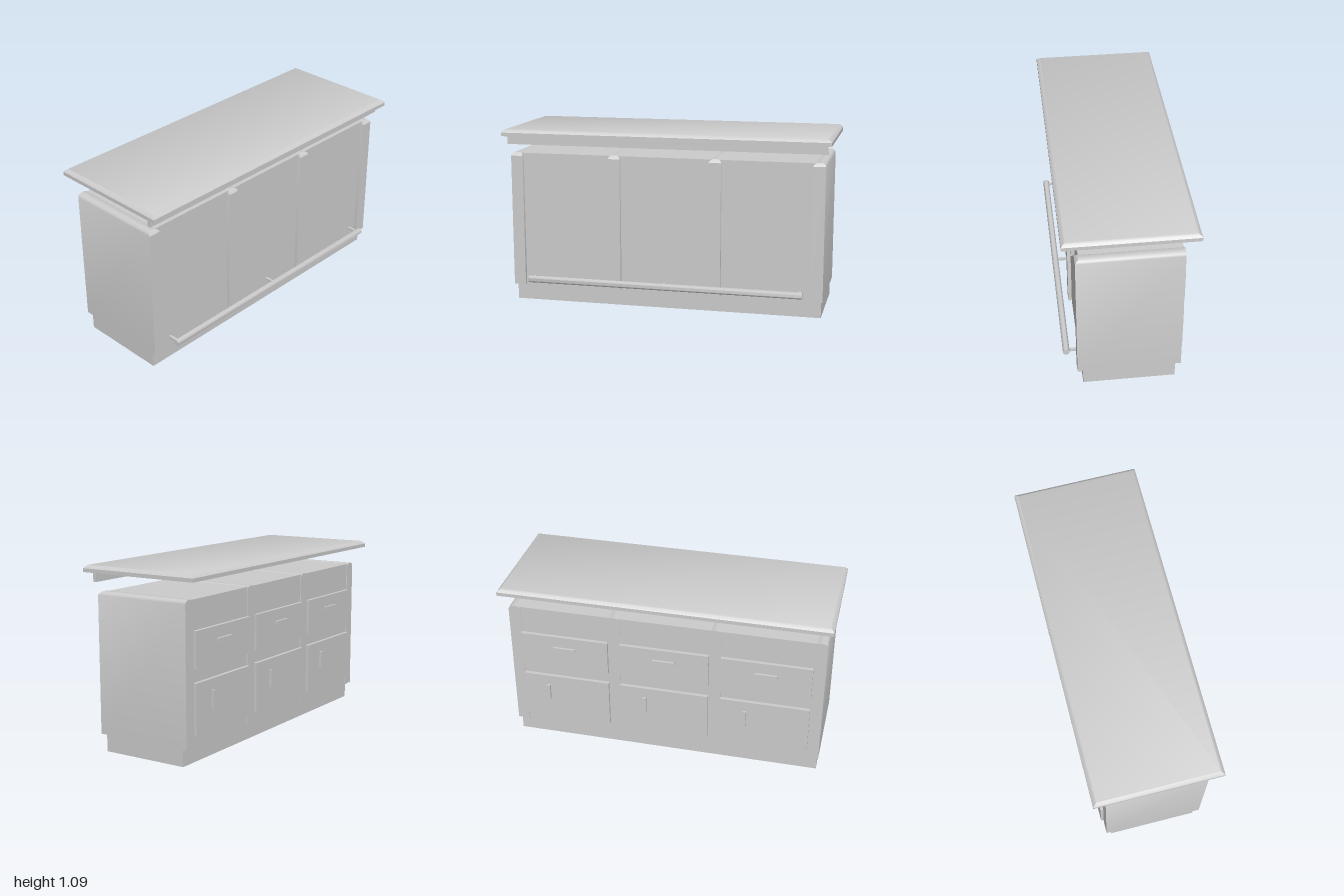
import * as THREE from 'three';
import { toCreasedNormals } from 'three/addons/utils/BufferGeometryUtils.js';

const grey = new THREE.MeshStandardMaterial({ color: 0xcccccc });
grey.name = 'light grey';

// Block from rectangular rings, each { y, side, front, back } with insets from the outline
function loft(x0, x1, z0, z1, rings) {
  const pos = [], idx = [];
  for (const { y, side = 0, front = 0, back = 0 } of rings) {
    pos.push(x0 + side, y, z1 - front, x1 - side, y, z1 - front,
      x1 - side, y, z0 + back, x0 + side, y, z0 + back);
  }
  for (let r = 0; r < rings.length - 1; r++) {
    for (let i = 0; i < 4; i++) {
      const a = r * 4 + i, b = r * 4 + (i + 1) % 4;
      idx.push(a, b, b + 4, a, b + 4, a + 4);
    }
  }
  const t = (rings.length - 1) * 4;
  idx.push(0, 2, 1, 0, 3, 2, t, t + 1, t + 2, t, t + 2, t + 3);
  const geo = new THREE.BufferGeometry();
  geo.setAttribute('position', new THREE.Float32BufferAttribute(pos, 3));
  geo.setIndex(idx);
  return toCreasedNormals(geo, Math.PI / 5);
}

export function createModel() {
  const group = new THREE.Group();
  const add = (name, geo) => {
    const mesh = new THREE.Mesh(geo, grey);
    mesh.name = name;
    group.add(mesh);
    return mesh;
  };
  const box = (name, x0, x1, y0, y1, z0, z1) =>
    add(name, new THREE.BoxGeometry(x1 - x0, y1 - y0, z1 - z0))
      .position.set((x0 + x1) / 2, (y0 + y1) / 2, (z0 + z1) / 2);

  // Plinth and cabinet carcass
  box('plinth', -0.957, 0.953, 0, 0.1, -0.271, 0.272);
  box('carcass', -0.94, 0.935, 0.098, 0.934, -0.298, 0.284);

  // End panels and dividers, with rounded top edges
  for (const x of [-0.968, -0.349, 0.273, 0.89]) {
    add('uprightPanel', loft(x, x + 0.074, -0.303, 0.305, [
      { y: 0.103 },
      { y: 0.917 },
      { y: 0.929, side: 0.006, front: 0.009 },
      { y: 0.938, side: 0.02, front: 0.02 },
    ]));
  }

  // Drawers and doors on the back, one pair in each bay
  for (const [x0, x1] of [[-0.895, -0.349], [-0.275, 0.273], [0.347, 0.89]]) {
    const mid = (x0 + x1) / 2, hx = x1 - 0.155;
    box('drawer', x0, x1, 0.545, 0.762, -0.32, -0.298);
    box('drawerHandle', mid - 0.068, mid + 0.068, 0.675, 0.692, -0.335, -0.32);
    box('door', x0, x1, 0.166, 0.469, -0.32, -0.298);
    box('doorHandle', hx - 0.01, hx + 0.01, 0.297, 0.404, -0.335, -0.32);
  }

  // Floating counter with an eased top edge, and the batten beneath its front
  add('counter', loft(-1, 1, -0.38, 0.38, [
    { y: 1.046 },
    { y: 1.068 },
    { y: 1.079, side: 0.01, front: 0.01, back: 0.01 },
    { y: 1.087, side: 0.022, front: 0.022, back: 0.022 },
  ]));
  box('counterBatten', -0.98, 0.975, 0.992, 1.046, 0.307, 0.328);

  // Foot rail on three brackets
  const rail = add('footRail', toCreasedNormals(
    new THREE.CylinderGeometry(0.021, 0.021, 1.7, 8).rotateY(Math.PI / 8), Math.PI / 3));
  rail.rotation.z = Math.PI / 2;
  rail.position.set(0, 0.155, 0.36);
  for (const x of [-0.83, 0, 0.83]) {
    box('railBracket', x - 0.008, x + 0.008, 0.147, 0.162, 0.28, 0.36);
  }
  return group;
}
